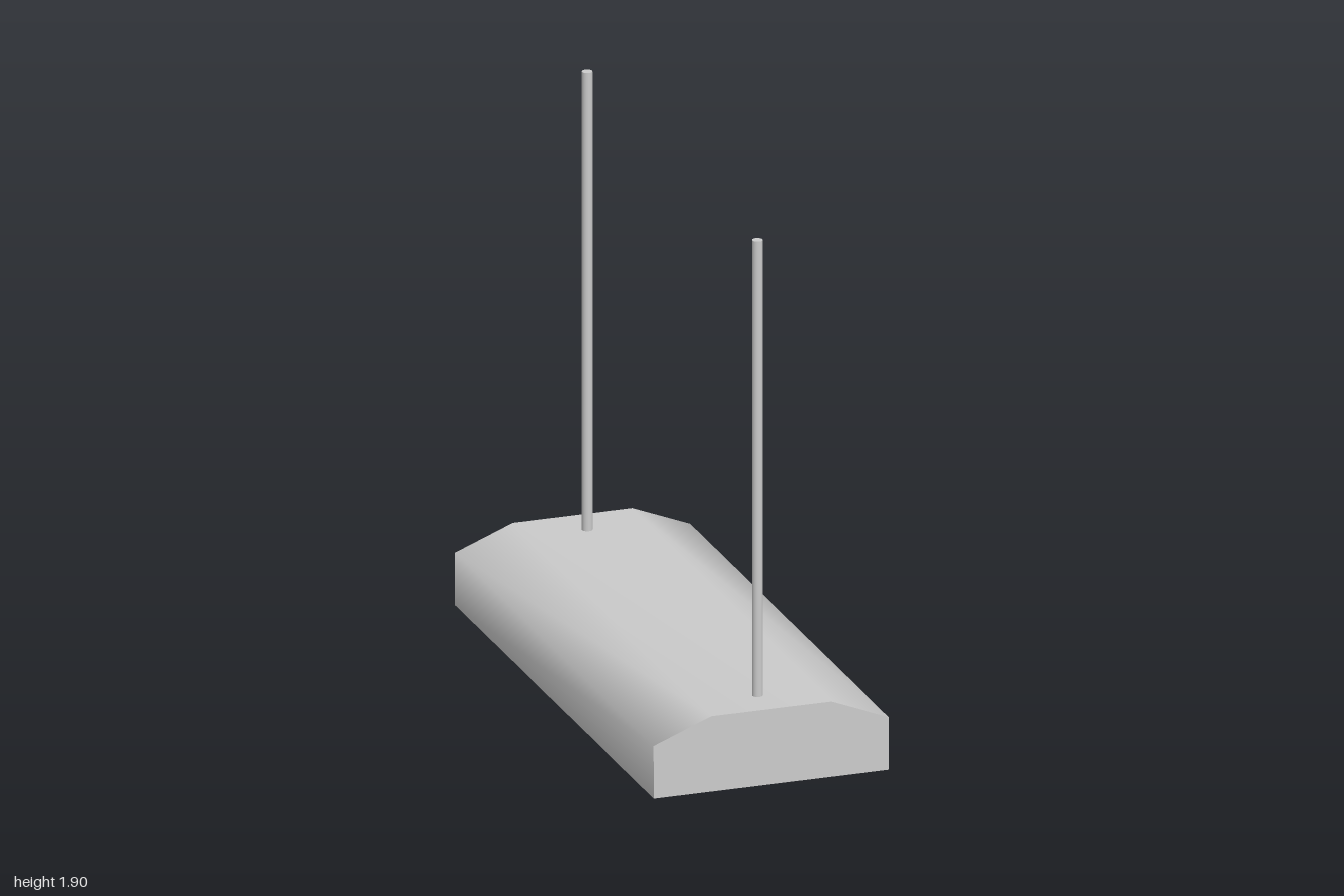
import * as THREE from 'three';
import { toCreasedNormals } from 'three/addons/utils/BufferGeometryUtils.js';

const HALF_W = 0.417, INNER_W = 0.36, CEILING = 0.18, END = 0.08, TILT = 0.006;

export function createModel() {
  const model = new THREE.Group();
  model.name = 'hangingTubeLight';
  const material = new THREE.MeshStandardMaterial({ color: 0xcccccc });
  const add = (parent, geometry, name, x, y, z) => {
    const mesh = new THREE.Mesh(geometry, material);
    mesh.name = name;
    mesh.position.set(x, y, z);
    parent.add(mesh);
    return mesh;
  };

  // Fixture, hanging very slightly higher at the front
  const fixture = new THREE.Group();
  fixture.name = 'fixture';
  fixture.rotation.x = -TILT;
  fixture.position.y = TILT;
  model.add(fixture);

  // Housing: bevelled channel, open underneath
  const right = [[INNER_W, CEILING], [INNER_W, 0], [HALF_W, 0], [HALF_W, 0.187], [0.213, 0.268]];
  const left = right.map(([x, y]) => [-x, y]).reverse();
  const profile = new THREE.Shape([...right, ...left].map(([x, y]) => new THREE.Vector2(x, y)));
  const channel = new THREE.ExtrudeGeometry(profile, { depth: 2, bevelEnabled: false });
  add(fixture, toCreasedNormals(channel, 1.3), 'housing', 0, 0, -1);

  // End blocks closing the channel
  for (const s of [1, -1]) {
    add(fixture, new THREE.BoxGeometry(2 * INNER_W, CEILING, END),
      s > 0 ? 'frontEnd' : 'backEnd', 0, CEILING / 2, s * (1 - END / 2));
  }

  // Three lamp tubes side by side in the recess
  const tube = new THREE.CylinderGeometry(0.107, 0.107, 2 * (1 - END), 32).rotateX(Math.PI / 2);
  for (const i of [-1, 0, 1]) add(fixture, tube, 'lampTube', i * 0.247, 0.115, 0);

  // Suspension rods
  const bottom = 0.25, top = 1.905;
  const rod = new THREE.CylinderGeometry(0.018, 0.018, top - bottom, 16);
  for (const s of [1, -1]) {
    add(model, rod, s > 0 ? 'frontRod' : 'backRod', 0, (top + bottom) / 2, s * 0.857);
  }
  return model;
}
